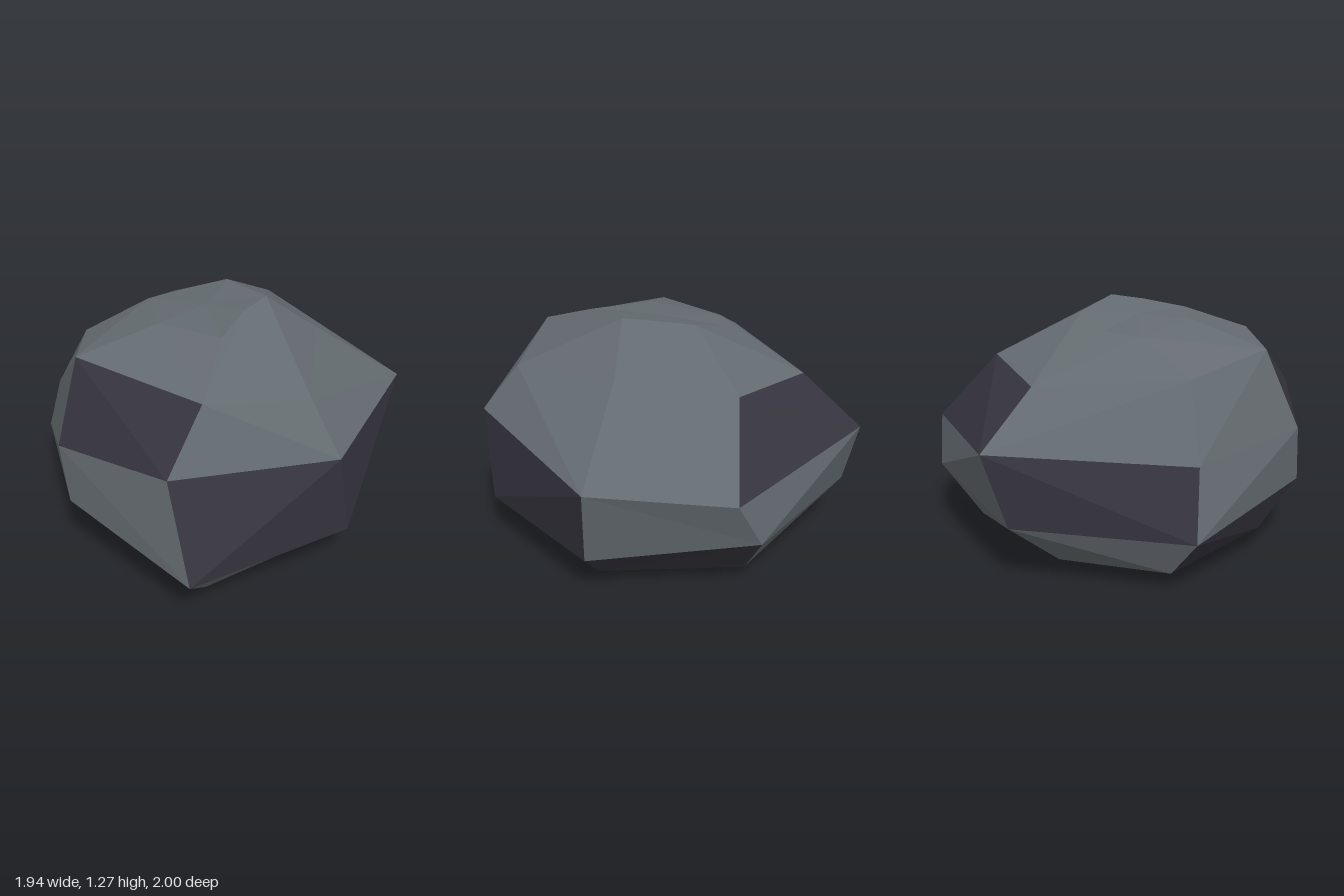
import * as THREE from 'three';

// Cross-sections from the ground up, each running counterclockwise from the front
const rings = [
  // base
  [[-0.28, 0.13, 0.81], [0.56, 0, 0.69], [0.82, 0.12, 0.05], [0.50, 0.08, -0.57],
    [-0.24, 0.08, -0.73], [-0.65, 0.03, -0.18], [-0.83, 0.09, 0.42]],
  // lower
  [[-0.11, 0.36, 1.00], [0.73, 0.27, 0.96], [0.96, 0.24, 0.06], [0.59, 0.24, -0.70],
    [-0.24, 0.36, -0.96], [-0.95, 0.31, -0.35], [-0.91, 0.28, 0.55]],
  // middle
  [[-0.18, 0.66, 0.99], [0.54, 0.76, 0.91], [0.97, 0.73, 0.18], [0.61, 0.67, -0.81],
    [-0.10, 0.61, -1.00], [-0.97, 0.68, -0.47], [-0.78, 0.62, 0.54]],
  // shoulder
  [[-0.22, 1.08, 0.81], [0.53, 1.06, 0.67], [0.77, 0.97, 0.17], [0.35, 1.04, -0.36],
    [-0.22, 1.00, -0.62], [-0.70, 0.95, -0.29], [-0.58, 0.99, 0.47]],
  // crown
  [[-0.04, 1.19, 0.41], [0.32, 1.20, 0.33], [0.25, 1.25, 0.10], [0.24, 1.27, -0.08],
    [-0.13, 1.23, -0.17], [-0.32, 1.16, -0.01], [-0.38, 1.15, 0.19]],
].map(ring => ring.map(p => new THREE.Vector3(...p)));

// Which facets of each band between two rings are dark
const darkFacets = [[3, 6], [1, 2, 5], [0, 4], []];

const core = new THREE.Vector3(0, 0.6, 0);

// Splits a four-cornered facet along its outer diagonal
function facet(a, b, c, d) {
  const reach = (p, q) => p.clone().add(q).multiplyScalar(0.5).distanceTo(core);
  return reach(a, c) > reach(b, d) ? [a, b, c, a, c, d] : [a, b, d, b, c, d];
}

// Closes a ring with a fan around its middle
function cap(ring, up) {
  const mid = new THREE.Vector3();
  ring.forEach(p => mid.addScaledVector(p, 1 / ring.length));
  return ring.flatMap((p, i) => {
    const q = ring[(i + 1) % ring.length];
    return up ? [p, q, mid] : [q, p, mid];
  });
}

function makeMesh(name, points, material) {
  const geometry = new THREE.BufferGeometry().setFromPoints(points);
  geometry.computeVertexNormals();
  const mesh = new THREE.Mesh(geometry, material);
  mesh.name = name;
  return mesh;
}

export function createModel() {
  const grey = new THREE.MeshStandardMaterial({ color: 0x646b70 });
  grey.name = 'stone grey';
  const dark = new THREE.MeshStandardMaterial({ color: 0x36343e });
  dark.name = 'dark slate';

  const greyPoints = [];
  const darkPoints = [];

  // Facets of the bands
  for (let r = 0; r < rings.length - 1; r++) {
    const low = rings[r], high = rings[r + 1];
    low.forEach((p, i) => {
      const j = (i + 1) % low.length;
      const target = darkFacets[r].includes(i) ? darkPoints : greyPoints;
      target.push(...facet(p, low[j], high[j], high[i]));
    });
  }

  const rock = new THREE.Group();
  rock.name = 'rock';
  rock.add(
    makeMesh('greyFacets', greyPoints, grey),
    makeMesh('darkFacets', darkPoints, dark),
    makeMesh('crown', cap(rings[4], true), grey),
    makeMesh('underside', cap(rings[0], false), dark),
  );
  return rock;
}
